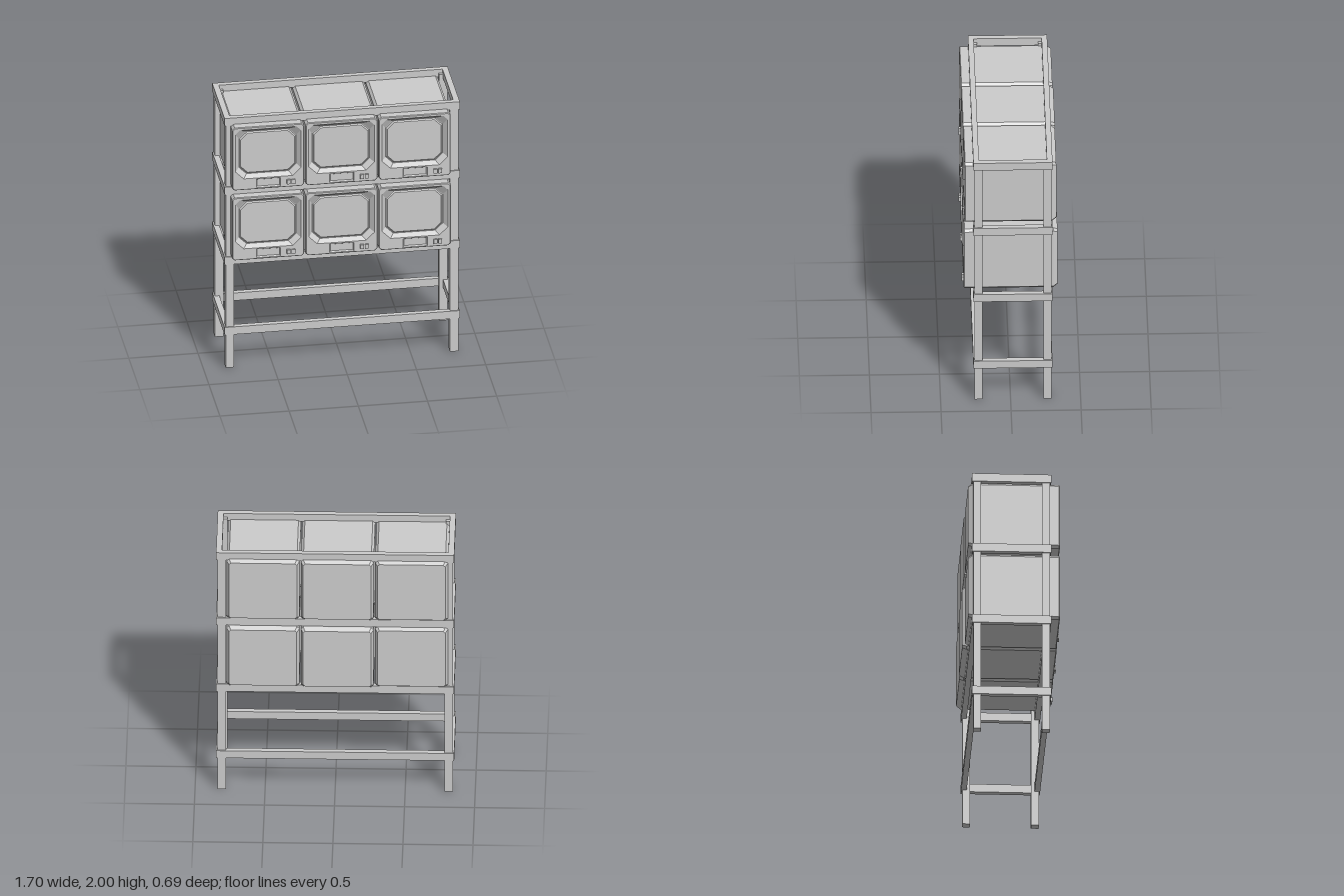
import * as THREE from 'three';

const mat = new THREE.MeshStandardMaterial({ color: 0xcccccc, flatShading: true });

function add(parent, name, geometry, x = 0, y = 0, z = 0) {
  const mesh = new THREE.Mesh(geometry, mat);
  mesh.name = name;
  mesh.position.set(x, y, z);
  parent.add(mesh);
  return mesh;
}

// Rectangle with cut corners, counter-clockwise; separate cuts for bottom and top
function octagon(x0, x1, y0, y1, cb, ct = cb) {
  return [
    [x0 + cb, y0], [x1 - cb, y0], [x1, y0 + cb], [x1, y1 - ct],
    [x1 - ct, y1], [x0 + ct, y1], [x0, y1 - ct], [x0, y0 + cb],
  ];
}
const rect = (x0, x1, y0, y1) => [[x0, y0], [x1, y0], [x1, y1], [x0, y1]];

// Skin between successive outlines [points, z], with optional flat end caps
function loft(rings, capStart, capEnd) {
  const pos = [];
  const n = rings[0][0].length;
  const put = (r, i) => pos.push(...rings[r][0][i % n], rings[r][1]);
  for (let r = 0; r + 1 < rings.length; r++) {
    for (let i = 0; i < n; i++) {
      put(r, i); put(r, i + 1); put(r + 1, i + 1);
      put(r, i); put(r + 1, i + 1); put(r + 1, i);
    }
  }
  const last = rings.length - 1;
  for (let i = 1; i + 1 < n; i++) {
    if (capStart) { put(0, 0); put(0, i + 1); put(0, i); }
    if (capEnd) { put(last, 0); put(last, i); put(last, i + 1); }
  }
  const g = new THREE.BufferGeometry();
  g.setAttribute('position', new THREE.Float32BufferAttribute(pos, 3));
  g.computeVertexNormals();
  return g;
}

const toPoints = (pts) => pts.map(([x, y]) => new THREE.Vector2(x, y));

// One monitor; its front face lies on z = 0 and its centre on x = y = 0
function createMonitor(depth) {
  const tv = new THREE.Group();
  const w = 0.26, h = 0.25;
  const outline = octagon(-w, w, -h, h, 0.018);
  const opening = octagon(-0.237, 0.237, -0.16, 0.23, 0.06, 0.032);
  const slot = rect(-0.086, 0.09, -0.238, -0.17);

  // Casing with bevelled back
  add(tv, 'casing', loft([
    [octagon(-w + 0.018, w - 0.018, -h + 0.018, h - 0.018, 0.014), -depth],
    [outline, -depth + 0.03],
    [outline, -0.006],
    [octagon(-w + 0.005, w - 0.005, -h + 0.005, h - 0.005, 0.016), 0],
  ], true, false));

  // Front face, cut out for the screen and the slot
  const face = new THREE.Shape(toPoints(octagon(-w + 0.005, w - 0.005, -h + 0.005, h - 0.005, 0.016)));
  face.holes.push(new THREE.Path(toPoints(opening)), new THREE.Path(toPoints(slot)));
  add(tv, 'frontFace', new THREE.ShapeGeometry(face));

  // Sloped surround leading to a slightly raised screen
  add(tv, 'screen', loft([
    [opening, 0],
    [octagon(-0.207, 0.207, -0.137, 0.203, 0.055), -0.035],
    [octagon(-0.202, 0.202, -0.132, 0.198, 0.053), -0.035],
    [octagon(-0.194, 0.194, -0.124, 0.19, 0.05), -0.028],
  ], false, true));

  // Recessed slot
  add(tv, 'slot', loft([
    [slot, 0],
    [rect(-0.079, 0.083, -0.231, -0.177), -0.012],
  ], false, true));

  // Two buttons
  for (const x of [0.147, 0.181]) {
    add(tv, 'button', new THREE.BoxGeometry(0.026, 0.034, 0.03), x, -0.205, -0.002);
  }
  return tv;
}

export function createModel() {
  const model = new THREE.Group();
  model.name = 'monitorRack';

  // Rack: four legs and four rectangular rings of rails
  const rack = new THREE.Group();
  rack.name = 'rack';
  model.add(rack);
  const midZ = -0.017;
  for (const sx of [-1, 1]) {
    for (const sz of [-1, 1]) {
      add(rack, 'leg', new THREE.BoxGeometry(0.06, 1.97, 0.056), sx * 0.81, 0.985, midZ + sz * 0.246);
    }
  }
  for (const y of [0.297, 0.86, 1.42, 1.97]) {
    for (const s of [-1, 1]) {
      add(rack, 'longRail', new THREE.BoxGeometry(1.7, 0.061, 0.04), 0, y, midZ + s * 0.2625);
      add(rack, 'sideRail', new THREE.BoxGeometry(0.042, 0.061, 0.485), s * 0.829, y, midZ);
    }
  }

  // Two rows of three monitors, set at slightly different depths
  const columns = [-0.545, -0.015, 0.515];
  const fronts = [[0.33, 0.333, 0.333], [0.33, 0.33, 0.328]];
  const backs = [[-0.325, -0.342, -0.337], [-0.325, -0.33, -0.328]];
  [1.14, 1.70].forEach((y, row) => {
    columns.forEach((x, col) => {
      const tv = createMonitor(fronts[row][col] - backs[row][col]);
      tv.name = 'monitor';
      tv.position.set(x, y, fronts[row][col]);
      model.add(tv);
    });
  });
  return model;
}
